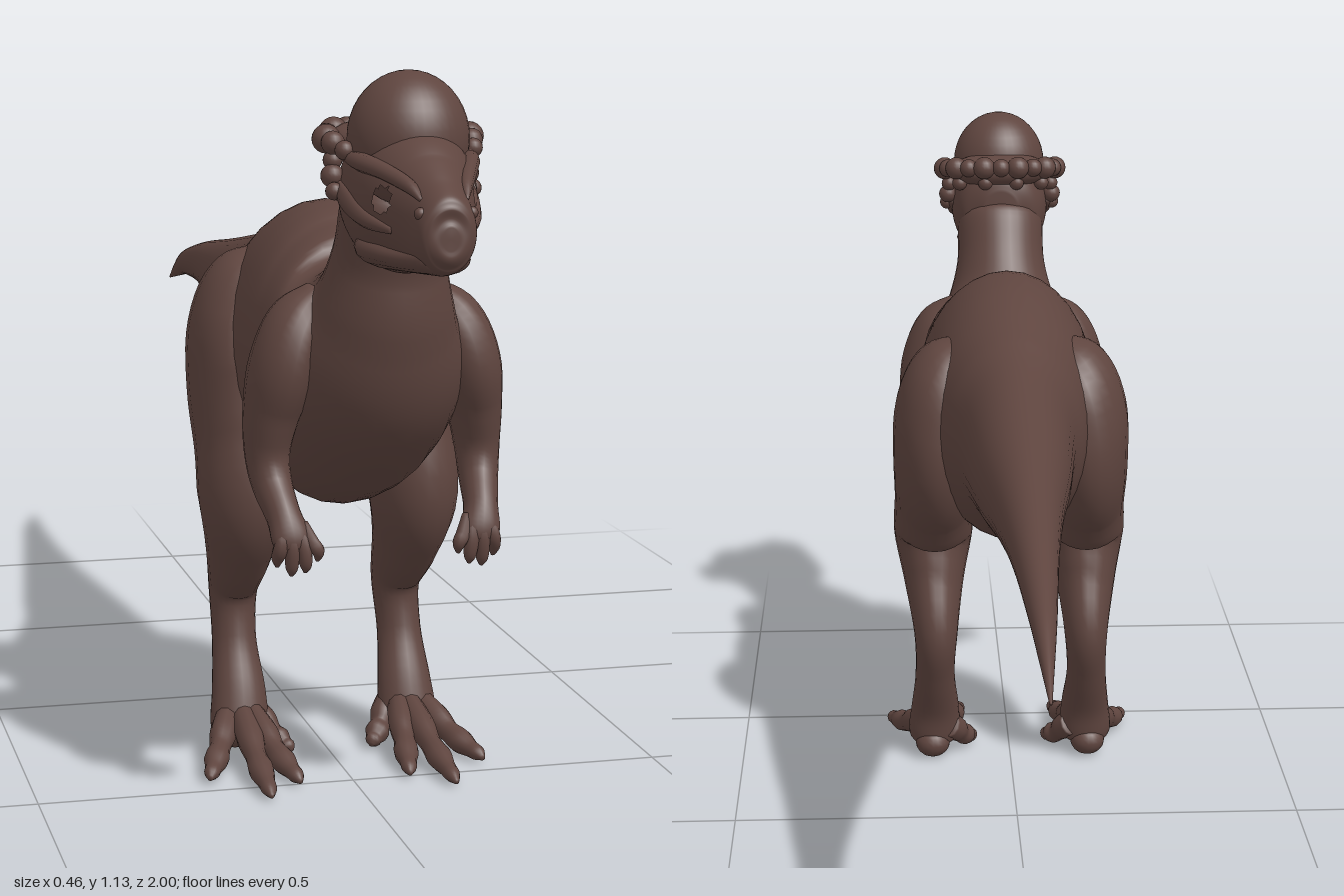
import * as THREE from 'three';

const skin = new THREE.MeshStandardMaterial({ color: 0x5f453f });
skin.name = 'brownSkin';

// Smooth skin through elliptical stations [x, y, z, halfWidth, halfDepth]; skip() leaves openings
function loft(name, rows, sides = 16, steps = 5, skip = () => false) {
  const path = new THREE.CatmullRomCurve3(rows.map(r => new THREE.Vector3(r[0], r[1], r[2])), false, 'catmullrom', 0.5);
  const size = new THREE.CatmullRomCurve3(rows.map(r => new THREE.Vector3(r[3], r[4], 0)), false, 'catmullrom', 0.5);
  const n = (rows.length - 1) * steps;
  const pts = [], index = [];
  for (let i = 0; i <= n; i++) {
    const c = path.getPoint(i / n), t = path.getTangent(i / n), r = size.getPoint(i / n);
    const side = new THREE.Vector3(1, 0, 0).addScaledVector(t, -t.x).normalize();
    const up = t.clone().cross(side);
    for (let j = 0; j < sides; j++) {
      const a = j / sides * Math.PI * 2;
      pts.push(c.clone().addScaledVector(side, Math.cos(a) * Math.max(r.x, 0.001))
        .addScaledVector(up, Math.sin(a) * Math.max(r.y, 0.001)));
    }
  }
  pts.push(path.getPoint(0), path.getPoint(1));
  const start = pts.length - 2, end = pts.length - 1;
  const face = (a, b, c) => {
    const m = pts[a].clone().add(pts[b]).add(pts[c]).divideScalar(3);
    if (!skip(m)) index.push(a, b, c);
  };
  for (let j = 0; j < sides; j++) {
    const k = (j + 1) % sides;
    for (let i = 0; i < n; i++) {
      const a = i * sides + j, b = i * sides + k;
      face(a, b, a + sides);
      face(b, b + sides, a + sides);
    }
    face(start, k, j);
    face(end, n * sides + j, n * sides + k);
  }
  const g = new THREE.BufferGeometry().setFromPoints(pts);
  g.setIndex(index);
  g.computeVertexNormals();
  const mesh = new THREE.Mesh(g, skin);
  mesh.name = name;
  return mesh;
}

function ball(name, x, y, z, rx, ry = rx, rz = rx, detail = 10) {
  const mesh = new THREE.Mesh(new THREE.SphereGeometry(1, detail * 2, detail), skin);
  mesh.position.set(x, y, z);
  mesh.scale.set(rx, ry, rz);
  mesh.name = name;
  return mesh;
}

function buildHead() {
  const head = new THREE.Group();
  head.name = 'head';
  // Skull with open eye sockets
  head.add(loft('skull', [
    [0, 0.97, 0.67, 0.03, 0.03], [0, 0.97, 0.69, 0.07, 0.075], [0, 0.965, 0.73, 0.088, 0.105],
    [0, 0.96, 0.78, 0.092, 0.113], [0, 0.957, 0.84, 0.085, 0.1], [0, 0.945, 0.89, 0.068, 0.084],
    [0, 0.932, 0.94, 0.05, 0.069], [0, 0.924, 0.98, 0.042, 0.056], [0, 0.922, 0.995, 0.032, 0.042],
    [0, 0.922, 1.0, 0.012, 0.016],
  ], 72, 9, m => Math.hypot(m.y - 0.965, m.z - 0.89) < 0.019));
  head.add(ball('dome', 0, 1.04, 0.785, 0.087, 0.096, 0.087, 20));
  head.add(ball('rearShelf', 0, 1.035, 0.715, 0.1, 0.032, 0.055, 14));
  head.add(loft('lowerJaw', [
    [0, 0.895, 0.76, 0.03, 0.02], [0, 0.89, 0.79, 0.08, 0.036], [0, 0.886, 0.86, 0.068, 0.027],
    [0, 0.886, 0.92, 0.05, 0.022], [0, 0.89, 0.97, 0.036, 0.02], [0, 0.892, 0.985, 0.012, 0.008],
  ], 20));

  // Ring of bony knobs around the back of the skull
  for (let i = 0; i <= 12; i++) {
    const a = (i / 6 - 1) * 1.85, s = Math.sin(a), c = Math.cos(a);
    const r = 0.017 + 0.004 * (i % 2);
    head.add(ball('skullKnob', 0.106 * s, 1.048 - 0.012 * (1 - c), 0.735 - 0.073 * c, r));
    if (i % 2) head.add(ball('lowerSkullKnob', 0.098 * s, 1.018 - 0.012 * (1 - c), 0.74 - 0.067 * c, 0.014));
  }
  for (const s of [-1, 1]) {
    head.add(loft('browRidge', [
      [s * 0.088, 1.015, 0.77, 0.006, 0.006], [s * 0.08, 1.012, 0.82, 0.014, 0.013],
      [s * 0.06, 1.003, 0.88, 0.013, 0.012], [s * 0.04, 0.988, 0.935, 0.01, 0.01],
      [s * 0.032, 0.972, 0.965, 0.003, 0.003],
    ], 10));
    head.add(loft('cheekRidge', [
      [s * 0.092, 0.975, 0.74, 0.006, 0.008], [s * 0.088, 0.955, 0.79, 0.013, 0.018],
      [s * 0.078, 0.935, 0.85, 0.011, 0.013], [s * 0.06, 0.925, 0.91, 0.004, 0.005],
    ], 10));
    for (const [x, y, z, r] of [[0.1, 0.985, 0.745, 0.017], [0.102, 0.965, 0.765, 0.013],
      [0.094, 1.025, 0.79, 0.014], [0.036, 0.955, 0.975, 0.009]])
      head.add(ball('cheekKnob', s * x, y, z, r));
  }
  return head;
}

function buildLeg(s) {
  const leg = new THREE.Group();
  leg.name = s > 0 ? 'leftLeg' : 'rightLeg';
  leg.add(loft('thighAndShin', [
    [0.08, 0.81, 0.235, 0.025, 0.03], [0.105, 0.765, 0.235, 0.068, 0.09],
    [0.127, 0.69, 0.24, 0.08, 0.125], [0.135, 0.6, 0.26, 0.077, 0.142],
    [0.138, 0.51, 0.305, 0.072, 0.12], [0.14, 0.43, 0.335, 0.072, 0.097],
    [0.14, 0.35, 0.3, 0.055, 0.078], [0.138, 0.265, 0.245, 0.04, 0.054],
    [0.14, 0.18, 0.26, 0.036, 0.04], [0.14, 0.1, 0.295, 0.044, 0.038],
    [0.142, 0.045, 0.31, 0.047, 0.04], [0.142, 0.025, 0.315, 0.03, 0.028],
  ].map(([x, ...r]) => [s * x, ...r]), 24));
  // Toes: [tip x, tip z, root x, root z]
  for (const [x, z, rx, rz] of [[0.09, 0.51, 0.125, 0.32], [0.148, 0.565, 0.14, 0.32],
    [0.222, 0.465, 0.16, 0.31], [0.068, 0.36, 0.115, 0.29]]) {
    const at = (f, y, w, h) => [s * (rx + (x - rx) * f), y, rz + (z - rz) * f, w, h];
    leg.add(loft('toe', [
      at(0, 0.065, 0.02, 0.025), at(0.3, 0.047, 0.022, 0.024), at(0.5, 0.033, 0.017, 0.019),
      at(0.68, 0.025, 0.02, 0.02), at(0.84, 0.019, 0.014, 0.014), at(0.95, 0.016, 0.012, 0.012),
      at(1.03, 0.011, 0.004, 0.004),
    ], 12));
  }
  leg.add(ball('heelPad', s * 0.145, 0.03, 0.29, 0.032, 0.028, 0.032));
  return leg;
}

function buildArm(s) {
  const arm = new THREE.Group();
  arm.name = s > 0 ? 'leftArm' : 'rightArm';
  arm.add(loft('shoulderAndForearm', [
    [0.085, 0.8, 0.605, 0.02, 0.03], [0.118, 0.755, 0.61, 0.045, 0.062],
    [0.142, 0.69, 0.615, 0.05, 0.072], [0.157, 0.62, 0.605, 0.042, 0.06],
    [0.163, 0.56, 0.605, 0.034, 0.047], [0.16, 0.515, 0.625, 0.03, 0.036],
    [0.152, 0.475, 0.665, 0.026, 0.028], [0.145, 0.445, 0.687, 0.03, 0.02],
    [0.142, 0.425, 0.692, 0.02, 0.012],
  ].map(([x, ...r]) => [s * x, ...r]), 20));
  // Fingers fan out from the palm
  for (const [x, y, z] of [[0.108, 0.412, 0.7], [0.126, 0.395, 0.698], [0.146, 0.39, 0.694], [0.166, 0.403, 0.688]])
    arm.add(loft('finger', [
      [s * (0.145 + (x - 0.145) * 0.5), 0.465, 0.68, 0.008, 0.01],
      [s * (0.145 + (x - 0.145) * 0.8), 0.438, 0.695, 0.011, 0.013],
      [s * x, y + 0.015, z, 0.01, 0.011], [s * x, y, z - 0.004, 0.003, 0.003],
    ], 10));
  return arm;
}

export function createModel() {
  const model = new THREE.Group();
  model.name = 'domeHeadedDinosaur';
  // Tail, torso and neck as one continuous form
  model.add(loft('tailTorsoNeck', [
    [0, 0.598, -1, 0.002, 0.002], [0, 0.63, -0.9, 0.012, 0.016], [0, 0.655, -0.8, 0.021, 0.026],
    [0, 0.677, -0.6, 0.036, 0.044], [0, 0.681, -0.4, 0.055, 0.07], [0, 0.679, -0.2, 0.08, 0.104],
    [0, 0.676, 0, 0.101, 0.142], [0, 0.672, 0.1, 0.125, 0.177], [0, 0.668, 0.2, 0.148, 0.212],
    [0, 0.667, 0.3, 0.16, 0.235], [0, 0.668, 0.4, 0.163, 0.238], [0, 0.68, 0.5, 0.16, 0.212],
    [0, 0.716, 0.6, 0.145, 0.168], [0, 0.78, 0.66, 0.108, 0.118], [0, 0.86, 0.692, 0.084, 0.088],
    [0, 0.94, 0.725, 0.08, 0.075], [0, 0.97, 0.735, 0.06, 0.055],
  ], 32, 6));
  model.add(buildHead());
  for (const s of [-1, 1]) model.add(buildLeg(s), buildArm(s));
  return model;
}
